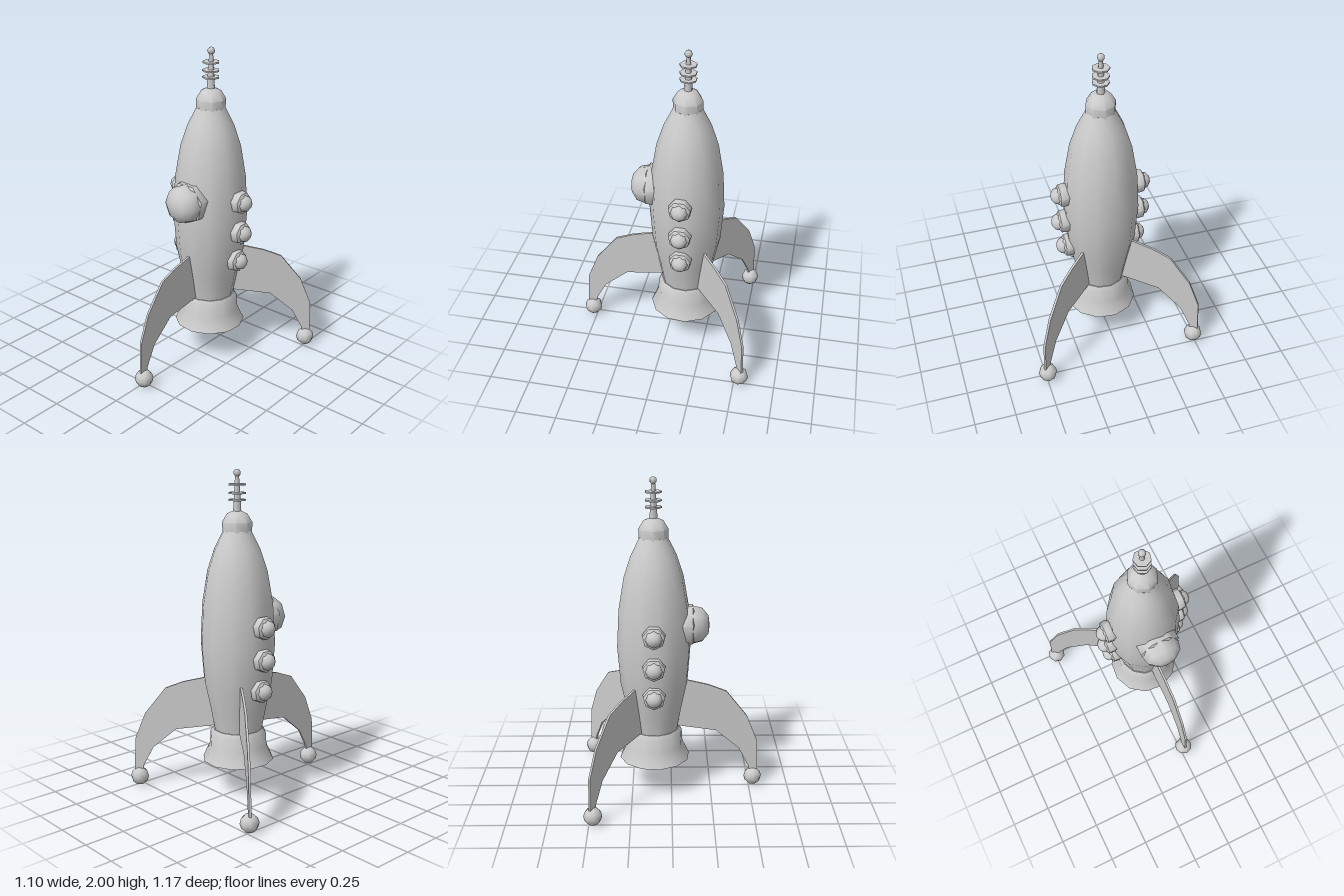
import * as THREE from 'three';
import { toCreasedNormals } from 'three/addons/utils/BufferGeometryUtils.js';

const material = new THREE.MeshStandardMaterial({ color: 0xcccccc, side: THREE.DoubleSide });
const AXIS_X = 0.022, AXIS_Z = -0.107; // the hull axis sits behind the origin

function part(parent, name, geometry, x = 0, y = 0, z = 0) {
  const mesh = new THREE.Mesh(geometry, material);
  mesh.name = name;
  mesh.position.set(x, y, z);
  parent.add(mesh);
  return mesh;
}

// Turned shape from [radius, height] pairs, listed upwards on the outside
function lathe(profile, sides, crease = 0.9, start = 0) {
  const points = profile.map(([r, y]) => new THREE.Vector2(r, y));
  return toCreasedNormals(new THREE.LatheGeometry(points, sides, start), crease);
}

// Collar ring with a glass dome, pointing along local +z
function porthole(name, collar, dome) {
  const group = new THREE.Group();
  group.name = name;
  const ring = part(group, name + 'Collar', lathe(collar, 7));
  const glass = part(group, name + 'Dome', lathe(dome, 8, 1.2));
  ring.rotation.x = glass.rotation.x = Math.PI / 2;
  return group;
}

export function createModel() {
  const model = new THREE.Group();
  model.name = 'rocket';
  const rocket = new THREE.Group();
  rocket.name = 'rocketBody';
  rocket.position.set(AXIS_X, 0, AXIS_Z);
  model.add(rocket);

  // Hull and hollow engine skirt
  part(rocket, 'hull', lathe([
    [0, 0.4], [0.148, 0.4], [0.178, 0.56], [0.212, 0.72], [0.23, 0.96],
    [0.217, 1.2], [0.183, 1.4], [0.14, 1.53], [0.085, 1.64], [0, 1.64],
  ], 12, 0.9, Math.PI / 20));
  part(rocket, 'engineSkirt', lathe([
    [0, 0.29], [0.15, 0.27], [0.222, 0.21], [0.18, 0.3],
    [0.175, 0.38], [0.155, 0.41], [0, 0.41],
  ], 12, 0.9, Math.PI / 20));

  // Nose cap, spire, rings and tip
  part(rocket, 'noseCap', lathe([
    [0, 1.625], [0.088, 1.625], [0.09, 1.69], [0.06, 1.74], [0.025, 1.755], [0, 1.755],
  ], 8));
  part(rocket, 'spire', new THREE.CylinderGeometry(0.011, 0.026, 0.24, 7), 0, 1.86, 0);
  [1.82, 1.86, 1.91].forEach((y, i) => {
    part(rocket, 'spireRing' + (i + 1), new THREE.CylinderGeometry(0.052, 0.052, 0.009, 7), 0, y, 0);
  });
  part(rocket, 'spireTip', new THREE.SphereGeometry(0.023, 7, 5), 0, 1.977, 0);

  // Large front window
  const front = porthole('frontWindow',
    [[0.12, -0.08], [0.13, -0.03], [0.13, 0.03], [0.112, 0.04]],
    [[0.12, 0], [0.122, 0.035], [0.108, 0.09], [0.06, 0.127], [0, 0.135]]);
  front.position.set(0, 1.09, 0.207);
  rocket.add(front);

  // Three small portholes on each side
  for (const side of [-1, 1]) {
    [[1.085, 0.225], [0.885, 0.226], [0.69, 0.2]].forEach(([y, x], i) => {
      const window = porthole((side > 0 ? 'left' : 'right') + 'Porthole' + (i + 1),
        [[0.06, -0.03], [0.072, 0], [0.068, 0.035], [0.045, 0.048]],
        [[0.05, 0.015], [0.053, 0.04], [0.044, 0.065], [0.025, 0.08], [0, 0.086]]);
      window.position.set(side * x, y, 0);
      window.rotation.y = side * Math.PI / 2;
      rocket.add(window);
    });
  }

  // Thin swept fins: outline as [distance from axis, height]
  const outline = [
    [0.13, 0.74], [0.213, 0.725], [0.34, 0.695], [0.455, 0.65], [0.588, 0.48], [0.655, 0.31],
    [0.664, 0.07], [0.615, 0.07], [0.605, 0.13], [0.54, 0.255], [0.392, 0.382], [0.13, 0.42],
  ];
  const shape = new THREE.Shape(outline.map(([r, y]) => new THREE.Vector2(r, y)));
  const finGeometry = new THREE.ExtrudeGeometry(shape, { depth: 0.014, bevelEnabled: false });
  finGeometry.translate(0, 0, -0.007);
  const fins = [['front', 0], ['backLeft', 131.9], ['backRight', -125.6]];
  for (const [name, degrees] of fins) {
    const leg = new THREE.Group();
    leg.name = name + 'Leg';
    leg.rotation.y = THREE.MathUtils.degToRad(degrees - 90);
    part(leg, name + 'Fin', finGeometry);
    part(leg, name + 'Foot', new THREE.SphereGeometry(0.057, 8, 6), 0.633, 0.057, 0);
    rocket.add(leg);
  }
  return model;
}
